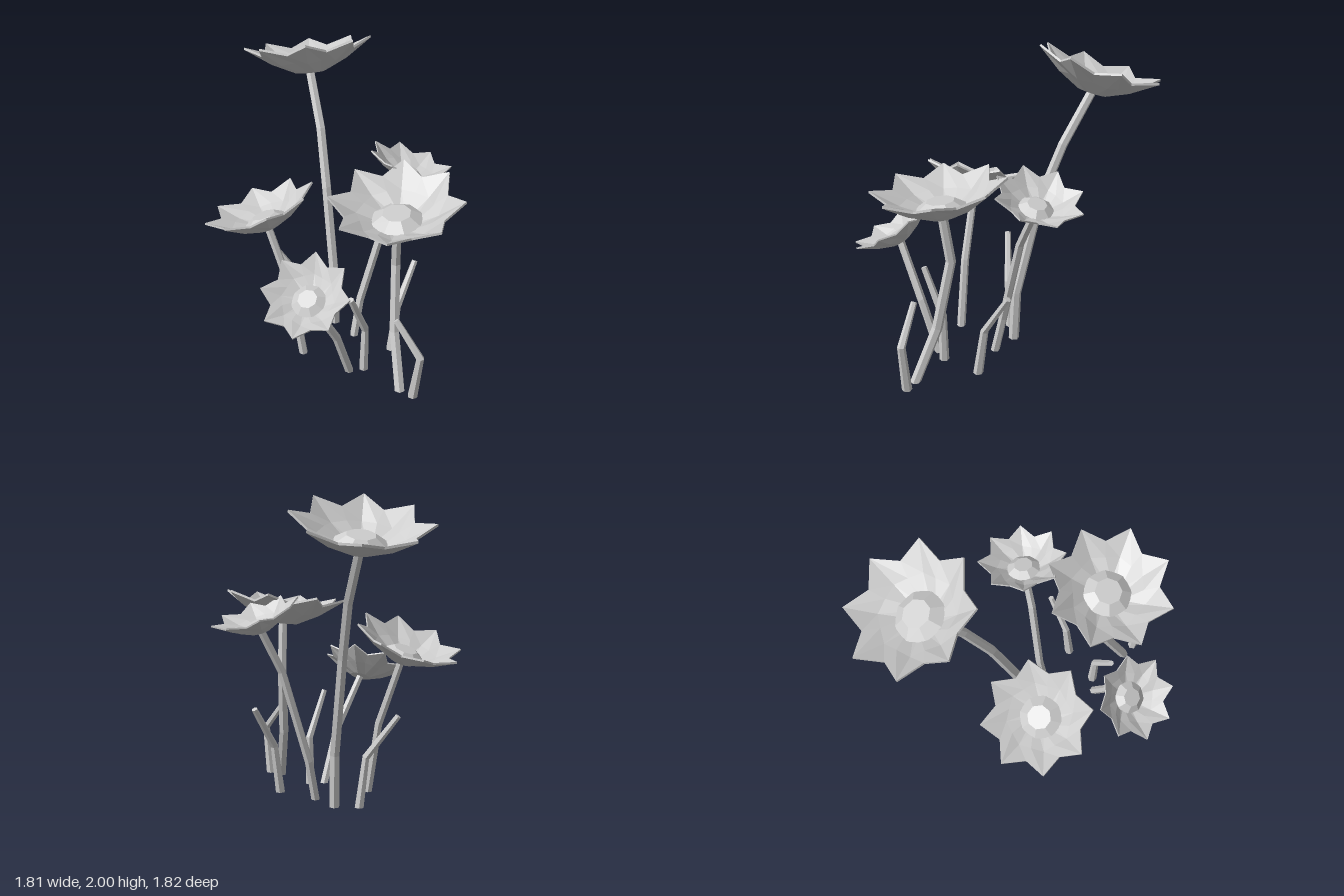
import * as THREE from 'three';

const UP = new THREE.Vector3(0, 1, 0);
const grey = new THREE.MeshStandardMaterial({ color: 0xcccccc, flatShading: true });
grey.name = 'light grey';

// Skin a list of equal-sized rings with faceted quads
function loft(rings) {
  const pos = [];
  const tri = (a, b, c) => {
    if (a.distanceTo(b) < 1e-6 || b.distanceTo(c) < 1e-6 || a.distanceTo(c) < 1e-6) return;
    for (const p of [a, b, c]) pos.push(p.x, p.y, p.z);
  };
  for (let i = 0; i < rings.length - 1; i++) {
    const a = rings[i], b = rings[i + 1], n = a.length;
    for (let j = 0; j < n; j++) {
      const k = (j + 1) % n;
      tri(a[j], b[j], b[k]);
      tri(a[j], b[k], a[k]);
    }
  }
  const geo = new THREE.BufferGeometry();
  geo.setAttribute('position', new THREE.Float32BufferAttribute(pos, 3));
  geo.computeVertexNormals();
  return geo;
}

function mesh(name, geo) {
  const m = new THREE.Mesh(geo, grey);
  m.name = name;
  return m;
}

// Tapered six-sided stalk through a few points, capped at both ends
function stalk(name, points, r0, r1) {
  const p = points.map((q) => new THREE.Vector3(...q));
  const last = p.length - 1, sides = 6;
  const rings = p.map((c, i) => {
    const dir = i === 0 ? UP : p[Math.min(i + 1, last)].clone().sub(p[i - 1]).normalize();
    const q = new THREE.Quaternion().setFromUnitVectors(UP, dir);
    const r = r0 + (r1 - r0) * i / last;
    return Array.from({ length: sides }, (_, j) => {
      const t = j / sides * Math.PI * 2;
      return new THREE.Vector3(Math.cos(t) * r, 0, Math.sin(t) * r).applyQuaternion(q).add(c);
    });
  });
  const cap = (c) => Array(sides).fill(c);
  return mesh(name, loft([cap(p[0]), ...rings, cap(p[last])]));
}

// Star-edged bowl: radii and heights alternate between petal tips and valleys
function bowlGeometry() {
  const ring = (rTip, hTip, rValley, hValley) => Array.from({ length: 16 }, (_, j) => {
    const t = j / 16 * Math.PI * 2, tip = j % 2 === 0;
    const r = tip ? rTip : rValley;
    return new THREE.Vector3(Math.cos(t) * r, tip ? hTip : hValley, Math.sin(t) * r);
  });
  const w = 0.014;
  return loft([
    ring(0, 0, 0, 0),
    ring(0.1, 0, 0.1, 0),
    ring(0.25, 0.07, 0.23, 0.08),
    ring(0.42, 0.185, 0.325, 0.135),
    ring(0.417, 0.185 + w, 0.322, 0.135 + w),
    ring(0.25, 0.07 + w, 0.23, 0.08 + w),
    ring(0.1, w, 0.1, w),
    ring(0, w, 0, w),
  ]);
}

const bowl = bowlGeometry();
// Low faceted dome, its corners lined up with the petal valleys
const dome = new THREE.CylinderGeometry(0.09, 0.165, 0.05, 8).rotateY(Math.PI / 8).translate(0, 0.07, 0);

function blossom(base, normal, radius, degrees) {
  const g = new THREE.Group();
  g.name = 'blossom';
  const spin = new THREE.Quaternion().setFromAxisAngle(UP, -degrees * Math.PI / 180);
  g.quaternion.setFromUnitVectors(UP, new THREE.Vector3(...normal).normalize()).multiply(spin);
  g.position.set(...base);
  g.scale.setScalar(radius / 0.42);
  g.add(mesh('petals', bowl), mesh('flowerCentre', dome));
  return g;
}

// Each flower: stem points from ground to blossom, facing, radius, turn
const flowers = [
  { name: 'tallFlower', normal: [-0.26, 1, -0.23], radius: 0.42, turn: 13,
    stem: [[-0.07, 0, -0.11], [-0.08, 0.35, -0.12], [-0.21, 1, -0.23], [-0.32, 1.36, -0.34], [-0.48, 1.68, -0.47]] },
  { name: 'rightFlower', normal: [-0.02, 1, 0.13], radius: 0.415, turn: 24,
    stem: [[0.65, 0, 0.28], [0.54, 0.36, 0.17], [0.49, 0.82, 0.09], [0.51, 1.13, 0.13]] },
  { name: 'leftFlower', normal: [-0.4, 1, 0], radius: 0.365, turn: 0,
    stem: [[-0.08, 0, 0.29], [-0.16, 0.48, 0.29], [-0.33, 0.93, 0.29]] },
  { name: 'backFlower', normal: [0.18, 1, 0.28].map((v, i) => (i === 2 ? -v : v)), radius: 0.285, turn: 2,
    stem: [[0.12, 0, -0.05], [0.13, 0.27, -0.11], [0.23, 0.88, -0.26], [0.3, 1.15, -0.38]] },
  { name: 'frontFlower', normal: [0.06, 1, 0.6], radius: 0.285, turn: -14,
    stem: [[0.28, 0, 0.29], [0.26, 0.36, 0.42], [0.18, 0.72, 0.6]] },
];

// Bare bent shoots between the flowers
const shoots = [
  [[-0.21, 0, -0.03], [-0.24, 0.33, 0], [-0.43, 0.61, 0.08]],
  [[0.35, 0, 0.22], [0.355, 0.33, 0.22], [0.325, 0.645, 0.36]],
  [[0.41, 0, -0.05], [0.42, 0.33, -0.1], [0.45, 0.61, -0.27]],
  [[0.75, 0, 0.29], [0.79, 0.33, 0.295], [0.61, 0.555, 0.29]],
];

export function createModel() {
  const model = new THREE.Group();
  model.name = 'flowerCluster';
  for (const f of flowers) {
    const g = new THREE.Group();
    g.name = f.name;
    const thick = f.radius > 0.4 ? 0.036 : 0.03;
    g.add(stalk('stem', f.stem, thick, thick * 0.85));
    g.add(blossom(f.stem[f.stem.length - 1], f.normal, f.radius, f.turn));
    model.add(g);
  }
  for (const s of shoots) model.add(stalk('shoot', s, 0.033, 0.02));
  return model;
}
